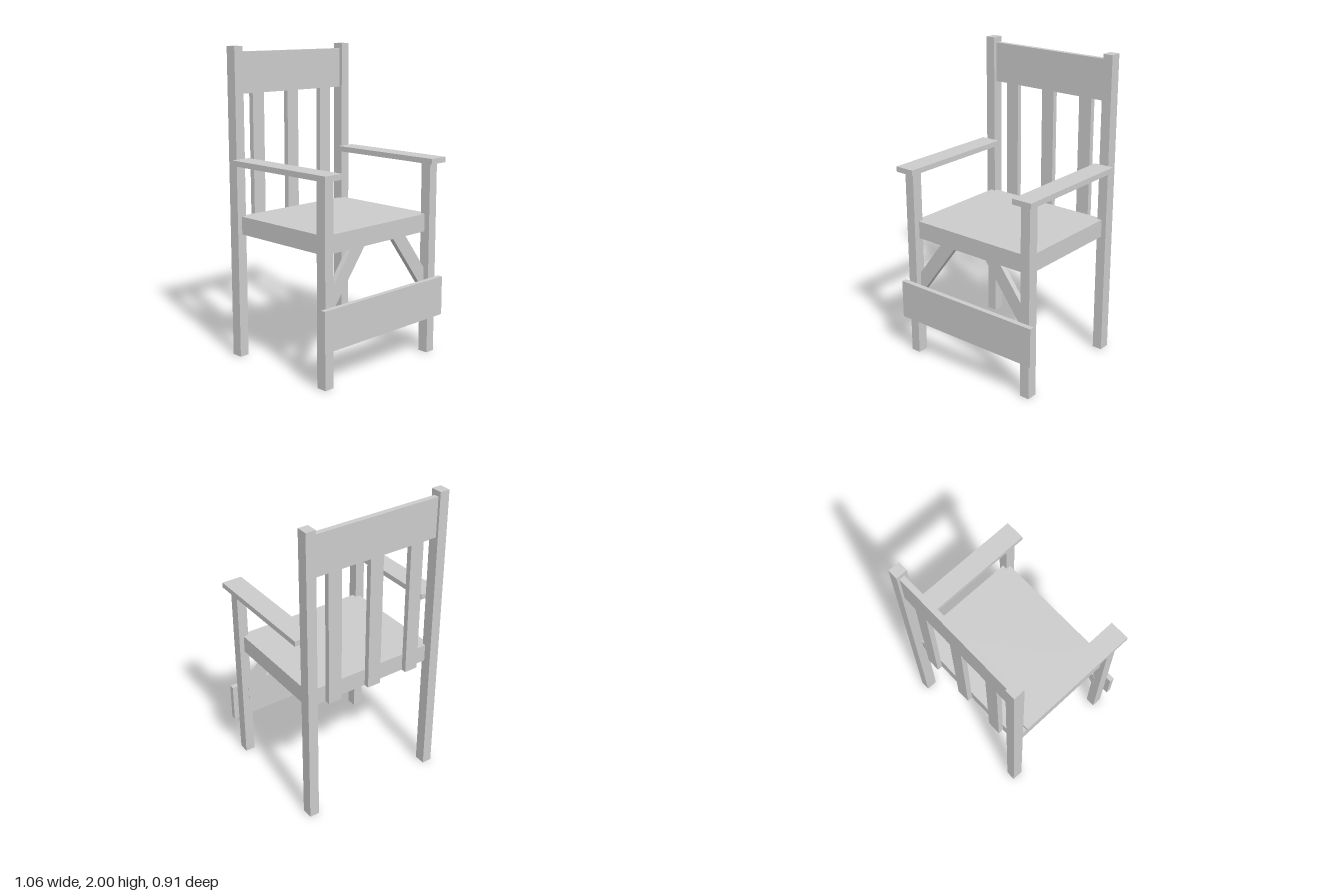
import * as THREE from 'three';

const material = new THREE.MeshStandardMaterial({ color: 0xcccccc, flatShading: true });

// Box given by its extents along each axis
function board(name, [x0, x1], [y0, y1], [z0, z1]) {
  const mesh = new THREE.Mesh(new THREE.BoxGeometry(x1 - x0, y1 - y0, z1 - z0), material);
  mesh.name = name;
  mesh.position.set((x0 + x1) / 2, (y0 + y1) / 2, (z0 + z1) / 2);
  return mesh;
}

// Slanted brace between front leg and seat underside, cut flush at both ends
function brace(name, side) {
  const shape = new THREE.Shape(
    [[0.13, 0.815], [0.246, 0.815], [0.45, 0.546], [0.45, 0.393]]
      .map(([x, y]) => new THREE.Vector2(x * side, y)));
  const geometry = new THREE.ExtrudeGeometry(shape, { depth: 0.035, bevelEnabled: false });
  const mesh = new THREE.Mesh(geometry, material);
  mesh.name = name;
  mesh.position.z = 0.343;
  return mesh;
}

export function createModel() {
  const chair = new THREE.Group();
  chair.name = 'armchair';

  // Legs, armrests and braces, mirrored left and right
  for (const [label, side] of [['left', 1], ['right', -1]]) {
    const span = (a, b) => (side > 0 ? [a, b] : [-b, -a]);
    chair.add(
      board(`${label}BackLeg`, span(0.43, 0.496), [0, 2], [-0.456, -0.381]),
      board(`${label}FrontLeg`, span(0.43, 0.496), [0, 1.265], [0.345, 0.416]),
      board(`${label}Armrest`, span(0.397, 0.532), [1.265, 1.3], [-0.381, 0.455]),
      brace(`${label}Brace`, side));
  }

  // Seat block
  chair.add(board('seat', [-0.463, 0.463], [0.815, 0.931], [-0.404, 0.377]));

  // Backrest: top rail and three slats running down behind the seat
  chair.add(board('topRail', [-0.434, 0.434], [1.705, 1.965], [-0.439, -0.404]));
  for (const x of [-0.292, 0, 0.292]) {
    chair.add(board('backSlat', [x - 0.046, x + 0.046], [0.815, 1.705], [-0.439, -0.404]));
  }

  // Wide board across the front legs
  chair.add(board('frontBoard', [-0.532, 0.532], [0.25, 0.508], [0.416, 0.45]));

  return chair;
}
